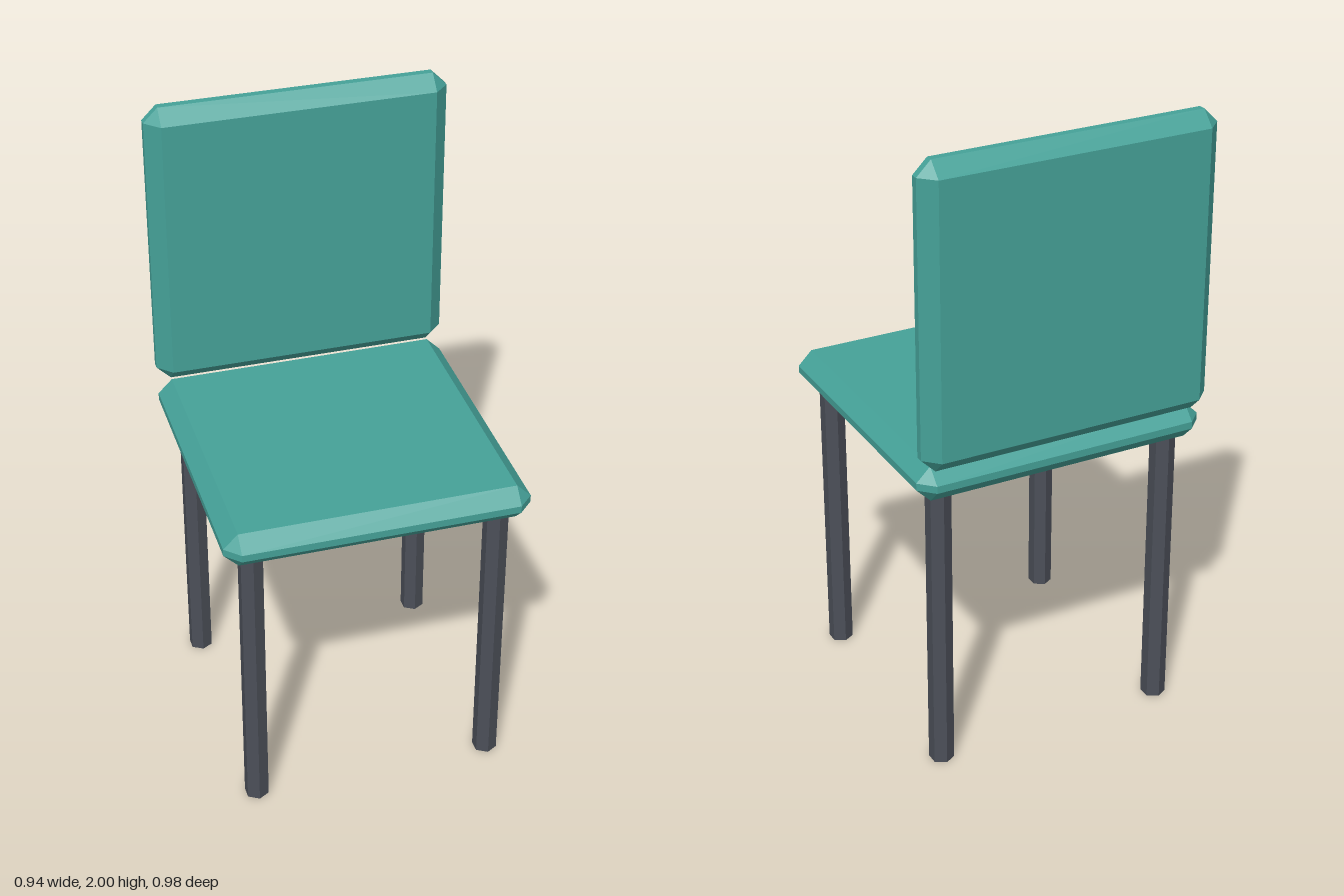
import * as THREE from 'three';
import { ConvexGeometry } from 'three/addons/geometries/ConvexGeometry.js';

// Box with every edge cut at 45 degrees and small triangular corners
function chamferedBox(w, h, d, bevel) {
  const half = [w / 2, h / 2, d / 2];
  const points = [];
  for (const sx of [-1, 1]) for (const sy of [-1, 1]) for (const sz of [-1, 1]) {
    for (let full = 0; full < 3; full++) {
      const [x, y, z] = half.map((v, axis) => (axis === full ? v : v - bevel));
      points.push(new THREE.Vector3(sx * x, sy * y, sz * z));
    }
  }
  return new ConvexGeometry(points);
}

export function createModel() {
  const model = new THREE.Group();
  model.name = 'chair';

  const teal = new THREE.MeshStandardMaterial({ color: 0x45a198 });
  teal.name = 'teal cushion';
  const grey = new THREE.MeshStandardMaterial({ color: 0x4b4f58 });
  grey.name = 'dark grey legs';
  grey.flatShading = true;

  const size = 0.943, thick = 0.113, bevel = 0.045;
  const legHeight = 0.944, seatZ = 0.017, legOffset = 0.381;

  const add = (name, geometry, material, x, y, z) => {
    const mesh = new THREE.Mesh(geometry, material);
    mesh.name = name;
    mesh.position.set(x, y, z);
    model.add(mesh);
  };

  // Cushions
  add('seat', chamferedBox(size, thick, size, bevel), teal, 0, legHeight + thick / 2, seatZ);
  add('backrest', chamferedBox(size, size, thick, bevel), teal, 0, 2 - size / 2, -0.432);

  // Six-sided legs
  const leg = new THREE.CylinderGeometry(0.039, 0.039, legHeight, 6);
  for (const [side, sx] of [['Left', 1], ['Right', -1]]) {
    for (const [end, sz] of [['front', 1], ['back', -1]]) {
      add(`${end}${side}Leg`, leg, grey, sx * legOffset, legHeight / 2, seatZ + sz * legOffset);
    }
  }
  return model;
}
